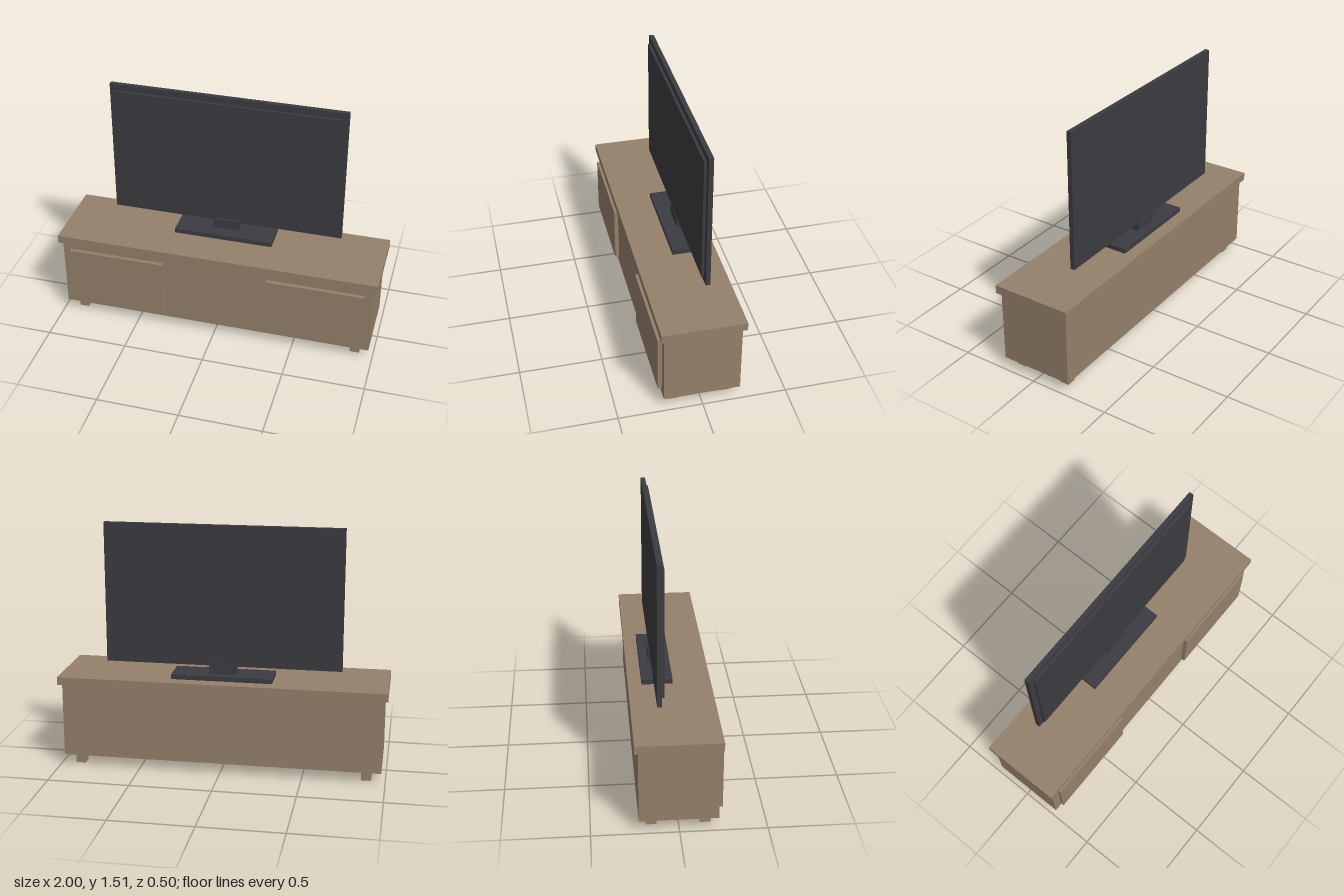
import * as THREE from 'three';

export function createModel() {
  const model = new THREE.Group();
  const wood = new THREE.MeshStandardMaterial({ color: 0x95816b });
  wood.name = 'taupe wood';
  const plastic = new THREE.MeshStandardMaterial({ color: 0x3c3b41 });
  plastic.name = 'charcoal plastic';

  // Adds a box given by its [min, max] extent on each axis.
  function box(name, material, [x0, x1], [y0, y1], [z0, z1], parent) {
    const mesh = new THREE.Mesh(new THREE.BoxGeometry(x1 - x0, y1 - y0, z1 - z0), material);
    mesh.position.set((x0 + x1) / 2, (y0 + y1) / 2, (z0 + z1) / 2);
    mesh.name = name;
    parent.add(mesh);
  }

  // Cabinet
  const cabinet = new THREE.Group();
  cabinet.name = 'cabinet';
  box('cabinetTop', wood, [-1, 1], [0.52, 0.57], [-0.25, 0.244], cabinet);
  box('cabinetBody', wood, [-0.975, 0.975], [0.065, 0.52], [-0.229, 0.225], cabinet);

  // Doors and legs, mirrored left and right
  for (const [side, s] of [['left', 1], ['right', -1]]) {
    const span = (a, b) => (s > 0 ? [a, b] : [-b, -a]);
    box(side + 'Door', wood, span(0.325, 0.925), [0.107, 0.475], [0.225, 0.25], cabinet);
    box(side + 'FrontLeg', wood, span(0.855, 0.915), [0, 0.065], [0.122, 0.183], cabinet);
    box(side + 'BackLeg', wood, span(0.855, 0.915), [0, 0.065], [-0.187, -0.126], cabinet);
  }

  // Television on its stand
  const television = new THREE.Group();
  television.name = 'television';
  box('standBase', plastic, [-0.308, 0.308], [0.57, 0.599], [-0.169, 0.016], television);
  box('standNeck', plastic, [-0.082, 0.082], [0.599, 0.662], [-0.115, -0.065], television);
  box('backPanel', plastic, [-0.72, 0.72], [0.648, 1.506], [-0.105, -0.077], television);
  box('screen', plastic, [-0.683, 0.683], [0.685, 1.465], [-0.077, -0.061], television);

  model.add(cabinet, television);
  return model;
}
